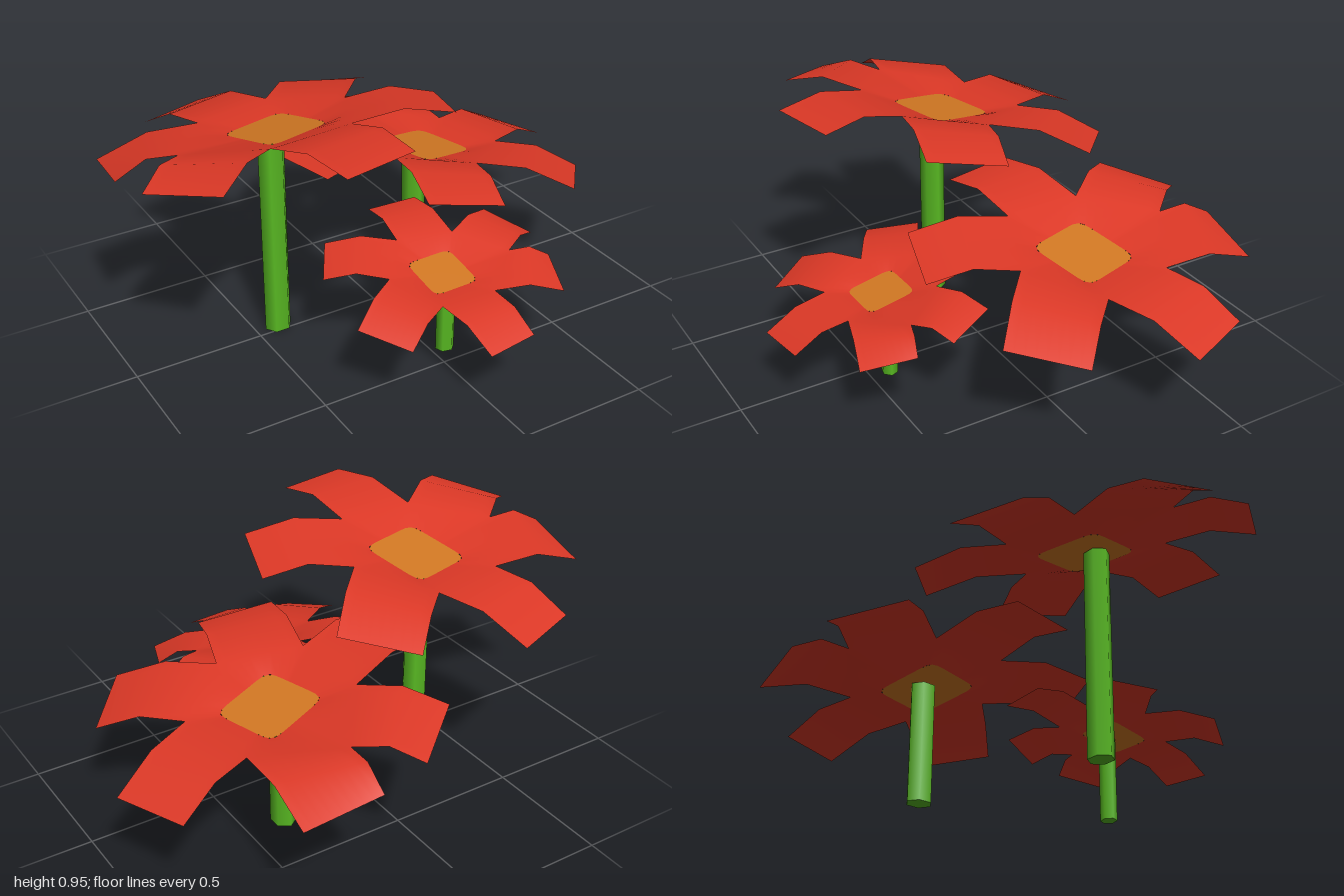
import * as THREE from 'three';
import { mergeVertices } from 'three/addons/utils/BufferGeometryUtils.js';

const material = (name, color, side = THREE.FrontSide) => {
  const m = new THREE.MeshStandardMaterial({ color, side });
  m.name = name;
  return m;
};

// Flower plan seen from above, [x, z] from the stem axis: tip corners of each petal,
// and the notch that precedes it
const TIPS = [
  [[-0.26, -0.55], [0.01, -0.65]],
  [[0.38, -0.54], [0.60, -0.34]],
  [[0.66, 0.05], [0.57, 0.33]],
  [[0.25, 0.56], [-0.04, 0.615]],
  [[-0.39, 0.44], [-0.57, 0.20]],
  [[-0.59, 0.01], [-0.55, -0.28]],
];
const NOTCHES = [[-0.17, -0.25], [0.14, -0.31], [0.34, -0.06], [0.20, 0.23], [-0.12, 0.24], [-0.37, 0.035]];
const CENTRE = [0.035, -0.025];
const STEPS = 8;

const mix = (a, b, t) => [a[0] + (b[0] - a[0]) * t, a[1] + (b[1] - a[1]) * t];
const angleOf = (p) => Math.atan2(p[1] - CENTRE[1], p[0] - CENTRE[0]);

// Rounded square outline of the flower's eye
function eyePoint(angle) {
  const a = angle + 0.25;
  const r = 0.135 / Math.pow(Math.cos(a) ** 8 + Math.sin(a) ** 8, 1 / 8);
  return [CENTRE[0] + r * Math.cos(angle), CENTRE[1] + r * Math.sin(angle)];
}

// Tilted head: a sloping plane plus the arch of the petals
const lift = ([x, z], height) => [x, height + 0.04 * x + 0.18 * z, z];

function surface(positions, index) {
  let g = new THREE.BufferGeometry();
  g.setAttribute('position', new THREE.Float32BufferAttribute(positions, 3));
  g.setIndex(index);
  g = mergeVertices(g, 1e-4);
  g.computeVertexNormals();
  return g;
}

// Six petals, each a strip of rows: eye edge, notch line, bend, tip
function petalGeometry() {
  const positions = [], index = [];
  TIPS.forEach(([tipA, tipB], i) => {
    const nA = NOTCHES[i], nB = NOTCHES[(i + 1) % NOTCHES.length];
    const a0 = angleOf(nA);
    let a1 = angleOf(nB);
    if (a1 < a0) a1 += Math.PI * 2;
    const base = positions.length / 3;
    const bendA = mix(nA, tipA, 0.5), bendB = mix(nB, tipB, 0.5);
    for (let s = 0; s <= STEPS; s++) {
      const u = s / STEPS;
      positions.push(
        ...lift(eyePoint(a0 + (a1 - a0) * u), 0),
        ...lift(mix(nA, nB, u), 0.03),
        ...lift(mix(bendA, bendB, u), 0.045),
        ...lift(mix(tipA, tipB, u), -0.01),
      );
    }
    for (let s = 0; s < STEPS; s++) {
      for (let v = 0; v < 3; v++) {
        const a = base + s * 4 + v, b = a + 4;
        index.push(a, b, a + 1, b, b + 1, a + 1);
      }
    }
  });
  return surface(positions, index);
}

// Flat eye filling the opening between the petals
function eyeGeometry() {
  const positions = [...lift(CENTRE, 0)], index = [];
  const n = 48;
  for (let i = 0; i < n; i++) {
    positions.push(...lift(eyePoint((i / n) * Math.PI * 2), 0));
    index.push(0, 1 + ((i + 1) % n), 1 + i);
  }
  return surface(positions, index);
}

export function createModel() {
  const red = material('petal red', 0xdc3826, THREE.DoubleSide);
  const orange = material('eye orange', 0xd27823, THREE.DoubleSide);
  const green = material('stem green', 0x58b822);
  const petals = petalGeometry(), eye = eyeGeometry();

  const model = new THREE.Group();
  model.name = 'flowers';

  function addFlower(name, x, z, headHeight, turn, scale) {
    const flower = new THREE.Group();
    flower.name = name;
    const add = (part, geometry, mat, y) => {
      const mesh = new THREE.Mesh(geometry, mat);
      mesh.name = part;
      mesh.position.y = y;
      flower.add(mesh);
    };
    const h = headHeight / scale, stemHeight = h - 0.012;
    // Slightly flattened six-sided stem with its corners on the x axis
    const stem = new THREE.CylinderGeometry(0.053, 0.053, stemHeight, 6);
    stem.rotateY(Math.PI / 2).scale(1, 1, 0.87);
    add('stem', stem, green, stemHeight / 2);
    add('petals', petals, red, h);
    add('eye', eye, orange, h);
    flower.position.set(x, 0, z);
    flower.rotation.y = -THREE.MathUtils.degToRad(turn);
    flower.scale.setScalar(scale);
    model.add(flower);
  }

  addFlower('tallFlower', -0.41, -0.03, 0.82, 0, 1);
  addFlower('middleFlower', 0.35, -0.262, 0.49, 88, 1);
  addFlower('smallFlower', 0.055, 0.42, 0.345, 193, 0.69);
  return model;
}
